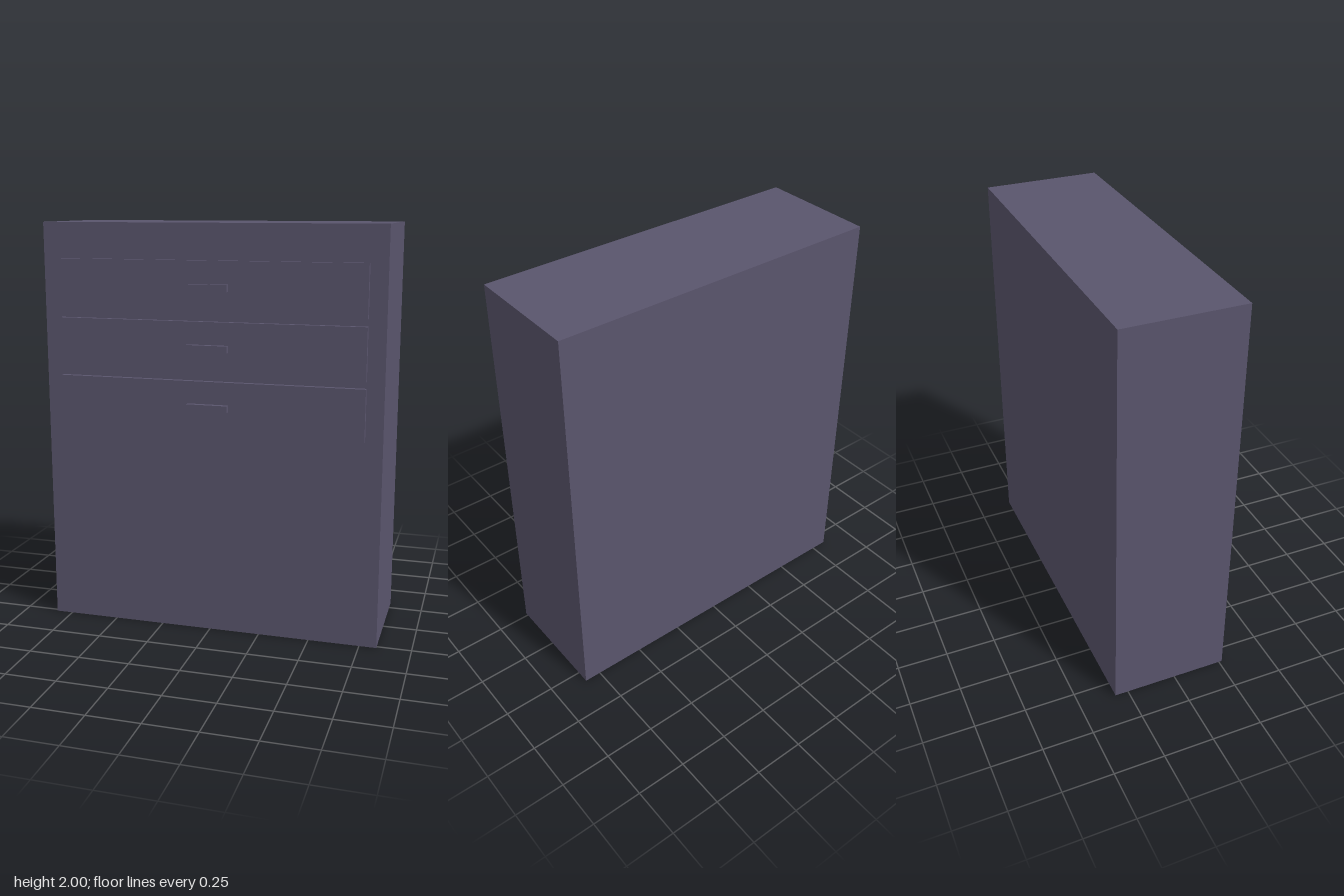
import * as THREE from 'three';

export function createModel() {
  const model = new THREE.Group();
  model.name = 'drawerCabinet';
  const paint = new THREE.MeshStandardMaterial({ color: 0x5a556d });
  paint.name = 'slate purple paint';

  const addBox = (parent, name, [w, h, d], [x, y, z]) => {
    const mesh = new THREE.Mesh(new THREE.BoxGeometry(w, h, d), paint);
    mesh.name = name;
    mesh.position.set(x, y, z);
    parent.add(mesh);
  };

  // Cabinet body
  addBox(model, 'cabinetBody', [1.667, 2, 0.582], [0, 1, -0.025]);

  // Three drawers in the upper half, each a raised front with a bar handle
  for (let i = 0; i < 3; i++) {
    const drawer = new THREE.Group();
    drawer.name = `drawer${i + 1}`;
    drawer.position.set(0, 1.704 - i * 0.284, 0.266);
    addBox(drawer, 'drawerFront', [1.5, 0.25, 0.025], [0, 0, 0.0125]);
    addBox(drawer, 'drawerHandle', [0.2, 0.033, 0.025], [0, 0, 0.0375]);
    model.add(drawer);
  }
  return model;
}
